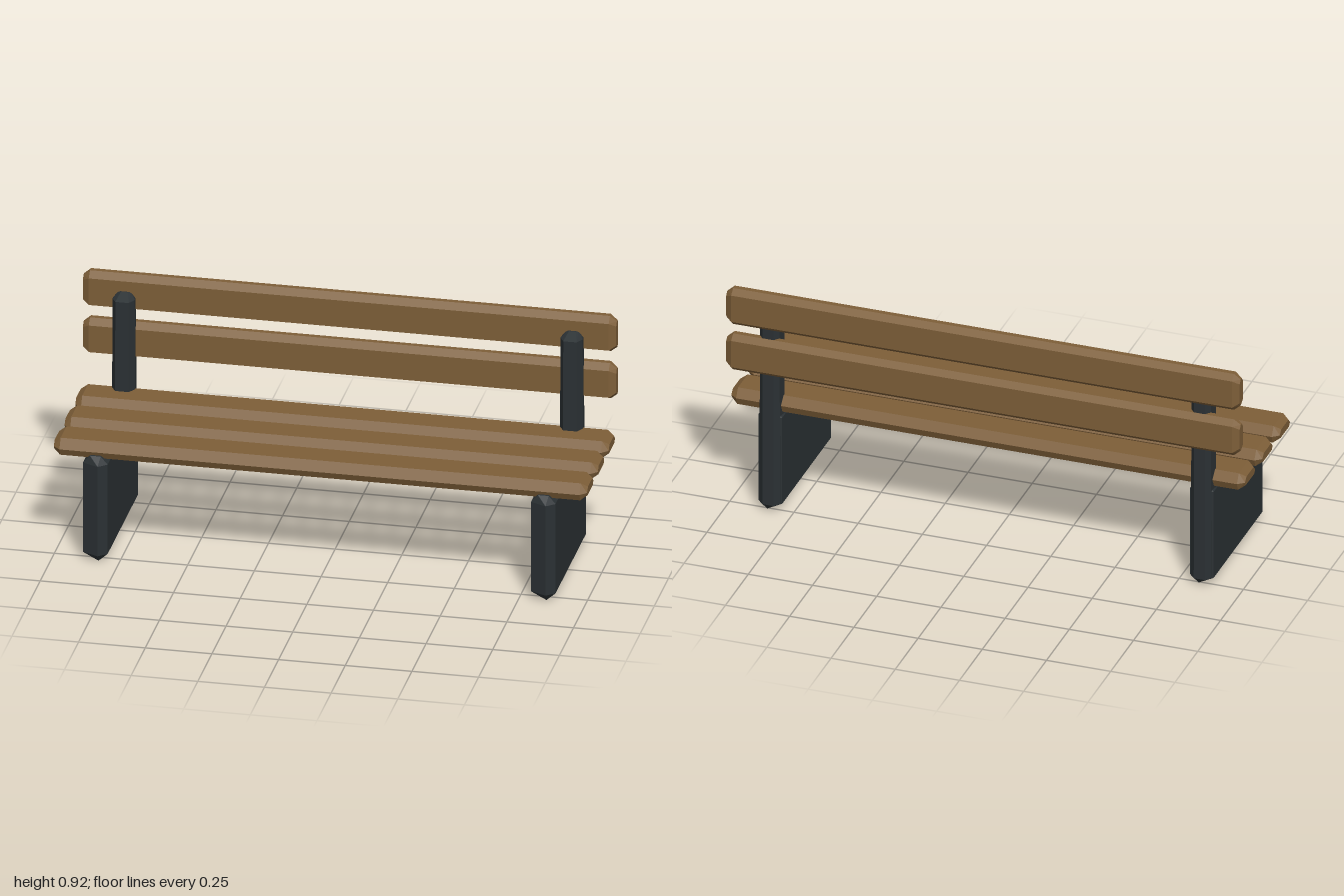
import * as THREE from 'three';
import { ConvexGeometry } from 'three/addons/geometries/ConvexGeometry.js';

const wood = new THREE.MeshStandardMaterial({ color: 0x7d5e38, flatShading: true });
const iron = new THREE.MeshStandardMaterial({ color: 0x2b3134, flatShading: true });

function hull(name, points, material) {
  const geometry = new ConvexGeometry(points.map((p) => new THREE.Vector3(...p)));
  const mesh = new THREE.Mesh(geometry, material);
  mesh.name = name;
  return mesh;
}

// Long plank: a chamfered (z, y) section, drawn in towards both ends
function plank(name, section, z, y, inset) {
  const points = [];
  for (const side of [-1, 1]) {
    for (const [a, b] of section) {
      points.push([side * 0.975, y + b, z + a]);
      points.push([side, y + b * inset[1], z + a * inset[0]]);
    }
  }
  return hull(name, points, wood);
}

// Sections around the plank centre
const seatSection = [
  [0.075, -0.005], [0.052, 0.032], [-0.052, 0.032],
  [-0.075, -0.002], [-0.062, -0.032], [0.062, -0.032],
];
const backSection = [
  [0.033, 0.052], [0.01, 0.075], [-0.01, 0.075], [-0.033, 0.055],
  [-0.033, -0.055], [-0.01, -0.075], [0.033, -0.055],
];

// Solid leg panel with ridged front, top and bottom edges
function legPanel() {
  const points = [];
  for (const z of [-0.255, 0.28]) {
    for (const y of [0.03, 0.39]) {
      points.push([-0.046, y, z], [0.046, y, z]);
    }
    points.push([0.012, 0, z], [-0.02, 0.42, z], [0.02, 0.42, z]);
  }
  for (const y of [0.03, 0.39]) points.push([0.014, y, 0.308], [0, y, -0.28]);
  return hull('legPanel', points, iron);
}

// Upright post: chamfered plan, narrowed at its top and foot
function backPost() {
  const plan = [
    [-0.044, -0.22], [-0.026, -0.19], [0.026, -0.19],
    [0.044, -0.22], [0.04, -0.262], [0.022, -0.282], [-0.022, -0.282], [-0.04, -0.262],
  ];
  const points = [];
  for (const [x, z] of plan) {
    points.push([x, 0.03, z], [x * 0.95, 0.83, z]);
    points.push([x * 0.5, 0.852, -0.255 + (z + 0.24) * 0.4]);
  }
  points.push([0.012, 0.002, -0.255]);
  return hull('backPost', points, iron);
}

export function createModel() {
  const bench = new THREE.Group();
  bench.name = 'bench';

  // Seat planks
  for (const z of [0.204, 0.014, -0.177]) {
    bench.add(plank('seatPlank', seatSection, z, 0.439, [0.75, 0.5]));
  }

  // Backrest planks
  for (const y of [0.65, 0.84]) {
    bench.add(plank('backrestPlank', backSection, -0.273, y, [0.55, 0.72]));
  }

  // Supports at both ends
  for (const side of [-1, 1]) {
    const support = new THREE.Group();
    support.name = side > 0 ? 'leftSupport' : 'rightSupport';
    support.add(legPanel(), backPost());
    support.position.x = side * 0.84;
    bench.add(support);
  }
  return bench;
}
